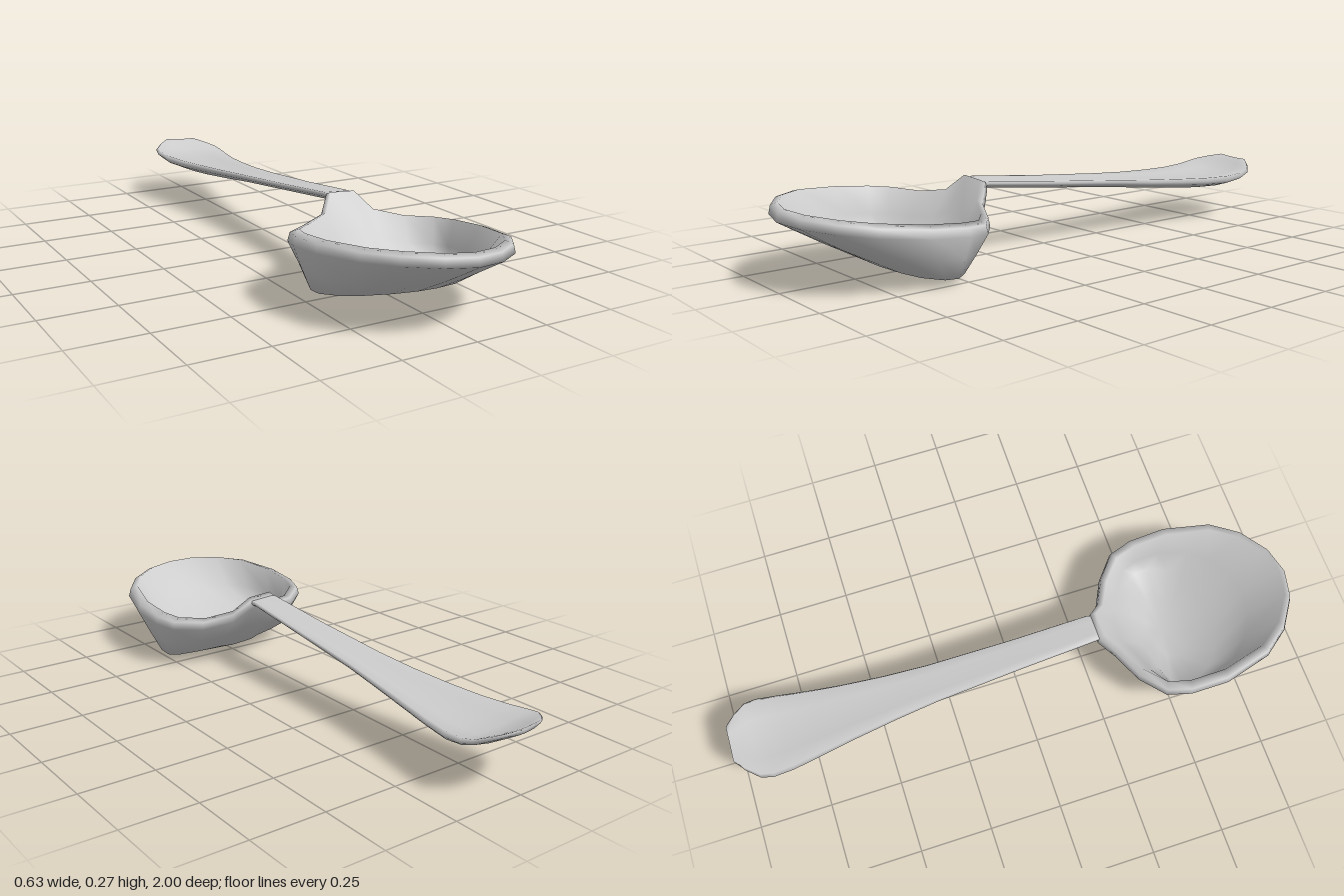
import * as THREE from 'three';

const TILT = 0.064; // the whole spoon leans slightly to its left side
const P = (x, y, z) => [x, y - TILT * x, z];

// Skin a stack of closed rings, closing both ends onto a centre point
function loft(name, start, rings, end, material) {
  const n = rings[0].length, pos = [start, ...rings.flat(), end].flat(), index = [];
  const id = (i, j) => 1 + i * n + (j % n);
  const last = rings.length - 1, endId = 1 + rings.length * n;
  for (let j = 0; j < n; j++) {
    index.push(0, id(0, j + 1), id(0, j));
    for (let i = 0; i < last; i++) {
      index.push(id(i, j), id(i, j + 1), id(i + 1, j));
      index.push(id(i, j + 1), id(i + 1, j + 1), id(i + 1, j));
    }
    index.push(id(last, j), id(last, j + 1), endId);
  }
  const g = new THREE.BufferGeometry();
  g.setAttribute('position', new THREE.Float32BufferAttribute(pos, 3));
  g.setIndex(index);
  g.computeVertexNormals();
  const mesh = new THREE.Mesh(g, material);
  mesh.name = name;
  return mesh;
}

function createBowl(material) {
  // Outer rim from the tip round to the neck: x, z, y
  const half = [
    [0, 0.997, 0.215], [0.1, 0.975, 0.215], [0.2, 0.91, 0.212], [0.27, 0.82, 0.205],
    [0.313, 0.66, 0.19], [0.31, 0.53, 0.178], [0.285, 0.45, 0.17], [0.2, 0.38, 0.165],
    [0.1, 0.33, 0.182], [0.05, 0.28, 0.235],
  ];
  const rim = [...half, ...half.slice(1).reverse().map(([x, z, y]) => [-x, z, y])];

  // Foot of the walls: steep at the sides, long slope at the front
  const base = (sx, front, back, lift) => rim.map(([x, z]) => {
    const dz = z - 0.55;
    return [x * sx, 0.038 + lift + 0.02 * Math.abs(dz) / 0.4, 0.55 + dz * (dz > 0 ? front : back)];
  });
  const edge = rim.map(([x, z, y]) => [x, y, z]);
  const roll = rim.map(([x, z, y]) => [x * 0.975, y + 0.027, 0.62 + (z - 0.62) * 0.985]);
  const lip = rim.map(([x, z, y]) => [x * 0.88, y + 0.036, 0.62 + (z - 0.62) * 0.93]);
  const foot = base(0.83, 0.38, 0.45, 0);
  const floor = base(0.75, 0.4, 0.38, 0.02);
  const mix = (a, b, t, bulge) => a.map((p, j) => p.map((v, k) => v + (b[j][k] - v) * t - (k === 1 ? bulge : 0)));

  const rings = [
    mix(foot, foot.map(() => [0, 0.003, 0.54]), 0.5, 0),
    foot,
    mix(foot, edge, 0.5, 0.003),
    edge, roll, lip,
    mix(lip, floor, 0.5, 0.012),
    floor,
    mix(floor, floor.map(() => [0, 0.022, 0.56]), 0.5, 0),
  ].map((ring) => ring.map((p) => P(...p)));
  return loft('bowl', P(0, 0.003, 0.54), rings, P(0, 0.022, 0.56), material);
}

function createHandle(material) {
  // z, half width, height of the side edges, height of the underside
  const stations = [
    [0.31, 0.045, 0.258, 0.222], [0.27, 0.05, 0.264, 0.234], [0, 0.057, 0.235, 0.204],
    [-0.3, 0.07, 0.207, 0.171], [-0.45, 0.084, 0.194, 0.152], [-0.6, 0.103, 0.184, 0.135],
    [-0.72, 0.122, 0.178, 0.125], [-0.82, 0.139, 0.178, 0.122], [-0.89, 0.146, 0.184, 0.138],
    [-0.93, 0.138, 0.192, 0.156], [-0.97, 0.103, 0.204, 0.178], [-1, 0.065, 0.214, 0.194],
  ];
  const rings = stations.map(([z, w, top, low]) => {
    const h = top - low, dish = Math.min(0.15 * Math.max(w - 0.05, 0), h * 0.35);
    // Shallow dished top, thin edge, rounded underside
    const side = [
      [0.5, top - dish * 0.7], [0.93, top], [1, top - h * 0.25], [0.9, top - h * 0.5], [0.5, low + h * 0.12],
    ];
    return [
      P(0, top - dish, z),
      ...side.map(([x, y]) => P(x * w, y, z)),
      P(0, low, z),
      ...side.reverse().map(([x, y]) => P(-x * w, y, z)),
    ];
  });
  return loft('handle', P(0, 0.24, 0.31), rings, P(0, 0.203, -1), material);
}

export function createModel() {
  const material = new THREE.MeshStandardMaterial({ color: 0xcccccc });
  const spoon = new THREE.Group();
  spoon.name = 'spoon';
  spoon.add(createBowl(material), createHandle(material));
  return spoon;
}
